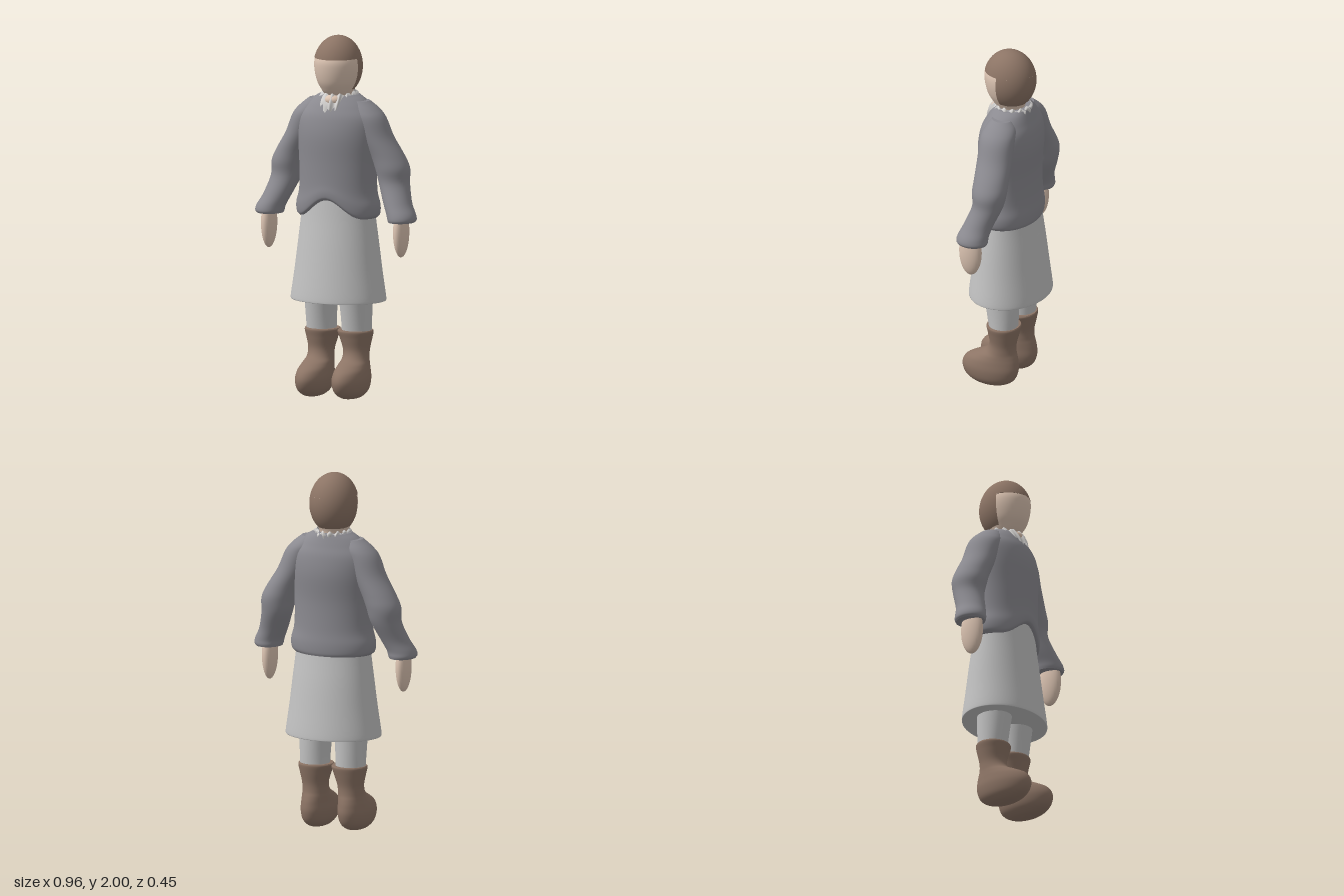
import * as THREE from 'three';

const mat = (name, color, side = THREE.FrontSide) => {
  const m = new THREE.MeshStandardMaterial({ color, side });
  m.name = name;
  return m;
};

// Smooth body through rows of [y, centreX, radiusX, zFront, zBack], bottom to top.
// warp(point, angle) may move each vertex.
function loft(rows, { seg = 40, sub = 5, s = 1, caps = true, warp } = {}) {
  const curve = (f) => new THREE.CatmullRomCurve3(rows.map(f), false, 'catmullrom', 0.5);
  const a = curve((r) => new THREE.Vector3(r[0], r[1] * s, r[2]));
  const b = curve((r) => new THREE.Vector3(r[3], r[4], 0));
  const n = (rows.length - 1) * sub;
  const pos = [], idx = [];
  for (let i = 0; i <= n; i++) {
    const p = a.getPoint(i / n), q = b.getPoint(i / n);
    for (let j = 0; j < seg; j++) {
      const t = (j / seg) * Math.PI * 2;
      const v = new THREE.Vector3(p.y + p.z * Math.sin(t), p.x, (q.x + q.y) / 2 + ((q.x - q.y) / 2) * Math.cos(t));
      if (warp) warp(v, t);
      pos.push(v.x, v.y, v.z);
      if (i < n) {
        const k = (j + 1) % seg, o = i * seg, u = o + seg;
        idx.push(o + j, o + k, u + k, o + j, u + k, u + j);
      }
    }
  }
  // Flat ends with their own vertices keep the rims crisp
  if (caps) for (const end of [0, n]) {
    const ring = pos.slice(end * seg * 3, (end + 1) * seg * 3);
    const base = pos.length / 3, c = [0, 0, 0];
    ring.forEach((v, i) => { c[i % 3] += v / seg; });
    pos.push(...ring, ...c);
    for (let j = 0; j < seg; j++) {
      const k = (j + 1) % seg;
      idx.push(base + seg, base + (end ? j : k), base + (end ? k : j));
    }
  }
  const g = new THREE.BufferGeometry();
  g.setAttribute('position', new THREE.Float32BufferAttribute(pos, 3));
  g.setIndex(idx);
  g.computeVertexNormals();
  return g;
}

export function createModel() {
  const model = new THREE.Group();
  const skin = mat('skin', 0xdcc4b2);
  const brown = mat('brown', 0x8c7465, THREE.DoubleSide);
  const jacketGrey = mat('jacketGrey', 0x8b8a90);
  const lightGrey = mat('lightGrey', 0xc2c2c2);
  const ruffleWhite = mat('ruffleWhite', 0xd2d0ce, THREE.DoubleSide);
  const add = (name, geo, material, parent = model) => {
    const m = new THREE.Mesh(geo, material);
    m.name = name;
    parent.add(m);
    return m;
  };

  // Head and neck
  add('head', loft([
    [1.60, 0, 0.075, 0.075, -0.09], [1.66, 0, 0.072, 0.065, -0.085], [1.70, 0, 0.088, 0.095, -0.095],
    [1.75, 0, 0.112, 0.124, -0.12], [1.82, 0, 0.127, 0.14, -0.14], [1.88, 0, 0.122, 0.138, -0.137],
    [1.94, 0, 0.09, 0.1, -0.1], [1.98, 0, 0.03, 0.035, -0.035],
  ]), skin);

  // Hair: a dome with a straight fringe, and a longer back
  const hair = new THREE.Group();
  hair.name = 'hair';
  model.add(hair);
  const hairPart = (name, phi, len, t0, t1) => {
    const g = new THREE.SphereGeometry(1, 48, 24, phi, len, t0, t1 - t0);
    g.scale(0.133, 0.17, 0.148);
    const m = add(name, g, brown, hair);
    m.position.set(0, 1.83, -0.002);
  };
  hairPart('hairTop', 0, Math.PI * 2, 0, 1.272);
  hairPart('hairBack', Math.PI - 0.15, Math.PI + 0.3, 1.272, 2.42);
  // Thin ledge under the fringe
  const ledge = new THREE.RingGeometry(0.9, 1, 48);
  ledge.scale(0.127, 0.141, 1);
  ledge.rotateX(Math.PI / 2);
  add('fringeEdge', ledge, brown, hair).position.set(0, 1.88, -0.002);

  // Jacket body, hem cut into an arch at the front
  add('jacketBody', loft([
    [1.00, 0, 0.225, 0.153, -0.168], [1.02, 0, 0.241, 0.16, -0.174], [1.07, 0, 0.243, 0.162, -0.175],
    [1.15, 0, 0.225, 0.158, -0.168], [1.30, 0, 0.225, 0.156, -0.165], [1.45, 0, 0.235, 0.157, -0.175],
    [1.55, 0, 0.23, 0.14, -0.165], [1.61, 0, 0.19, 0.113, -0.145], [1.65, 0, 0.15, 0.088, -0.13],
    [1.675, 0, 0.11, 0.07, -0.12],
  ], {
    seg: 64,
    warp: (v) => {
      if (v.z < 0 || Math.abs(v.x) > 0.2) return;
      const arch = 0.11 * Math.cos((v.x / 0.2) * Math.PI / 2) ** 2;
      v.y += arch * Math.max(0, 1 - (v.y - 1) / 0.25);
    },
  }), jacketGrey);

  // Ruffled collar with a patch of skin showing inside
  add('ruffle', loft([
    [1.595, 0, 0.088, 0.126, -0.1], [1.635, 0, 0.1, 0.113, -0.115], [1.672, 0, 0.098, 0.088, -0.127],
    [1.685, 0, 0.088, 0.075, -0.115],
  ], {
    seg: 96, caps: false,
    warp: (v, t) => {
      const f = 1 + 0.05 * Math.sin(t * 17) + 0.02 * Math.sin(t * 29);
      v.x *= f;
      v.z *= f;
      v.y += 0.009 * Math.sin(t * 13 + 1);
    },
  }), ruffleWhite);
  const throat = add('throat', new THREE.SphereGeometry(1, 24, 16), skin);
  throat.scale.set(0.05, 0.03, 0.04);
  throat.position.set(0, 1.65, 0.068);

  // Skirt
  add('skirt', loft([
    [0.54, 0, 0.266, 0.206, -0.22], [0.552, 0, 0.271, 0.211, -0.225], [0.70, 0, 0.25, 0.192, -0.207],
    [0.85, 0, 0.232, 0.172, -0.188], [1.00, 0, 0.214, 0.152, -0.166], [1.14, 0, 0.2, 0.138, -0.15],
  ], { seg: 64 }), lightGrey);

  for (const [side, s] of [['left', 1], ['right', -1]]) {
    // Sleeve with a full elbow and flared cuff
    add(side + 'Sleeve', loft([
      [0.995, 0.4, 0.072, 0.108, -0.06], [1.01, 0.402, 0.079, 0.114, -0.065], [1.04, 0.394, 0.08, 0.108, -0.066],
      [1.10, 0.364, 0.079, 0.085, -0.08], [1.20, 0.328, 0.086, 0.053, -0.118], [1.28, 0.315, 0.096, 0.06, -0.134],
      [1.35, 0.285, 0.094, 0.062, -0.132], [1.45, 0.228, 0.09, 0.072, -0.125], [1.55, 0.185, 0.09, 0.078, -0.12],
      [1.60, 0.15, 0.085, 0.065, -0.11], [1.645, 0.12, 0.06, 0.04, -0.08],
    ], { s }), jacketGrey);

    // Hand
    const hand = add(side + 'Hand', new THREE.SphereGeometry(1, 28, 20), skin);
    hand.scale.set(0.038, 0.14, 0.067);
    hand.position.set(0.402 * s, 0.94, 0.035);

    // Leg
    add(side + 'Leg', loft([
      [0.34, 0.107, 0.082, 0.06, -0.097], [0.44, 0.107, 0.085, 0.076, -0.102], [0.56, 0.105, 0.092, 0.095, -0.106],
    ], { s }), lightGrey);

    // Boot with a rounded foot
    add(side + 'Boot', loft([
      [0.00, 0.113, 0.02, 0.09, 0.03], [0.012, 0.113, 0.052, 0.155, -0.035], [0.045, 0.112, 0.08, 0.207, -0.084],
      [0.10, 0.111, 0.091, 0.228, -0.106], [0.15, 0.11, 0.086, 0.205, -0.105], [0.185, 0.108, 0.079, 0.145, -0.098],
      [0.215, 0.107, 0.073, 0.085, -0.09], [0.26, 0.106, 0.073, 0.062, -0.09], [0.32, 0.103, 0.088, 0.07, -0.103],
      [0.36, 0.1, 0.1, 0.079, -0.111], [0.372, 0.1, 0.096, 0.076, -0.108],
    ], { s }), brown);
  }
  return model;
}
